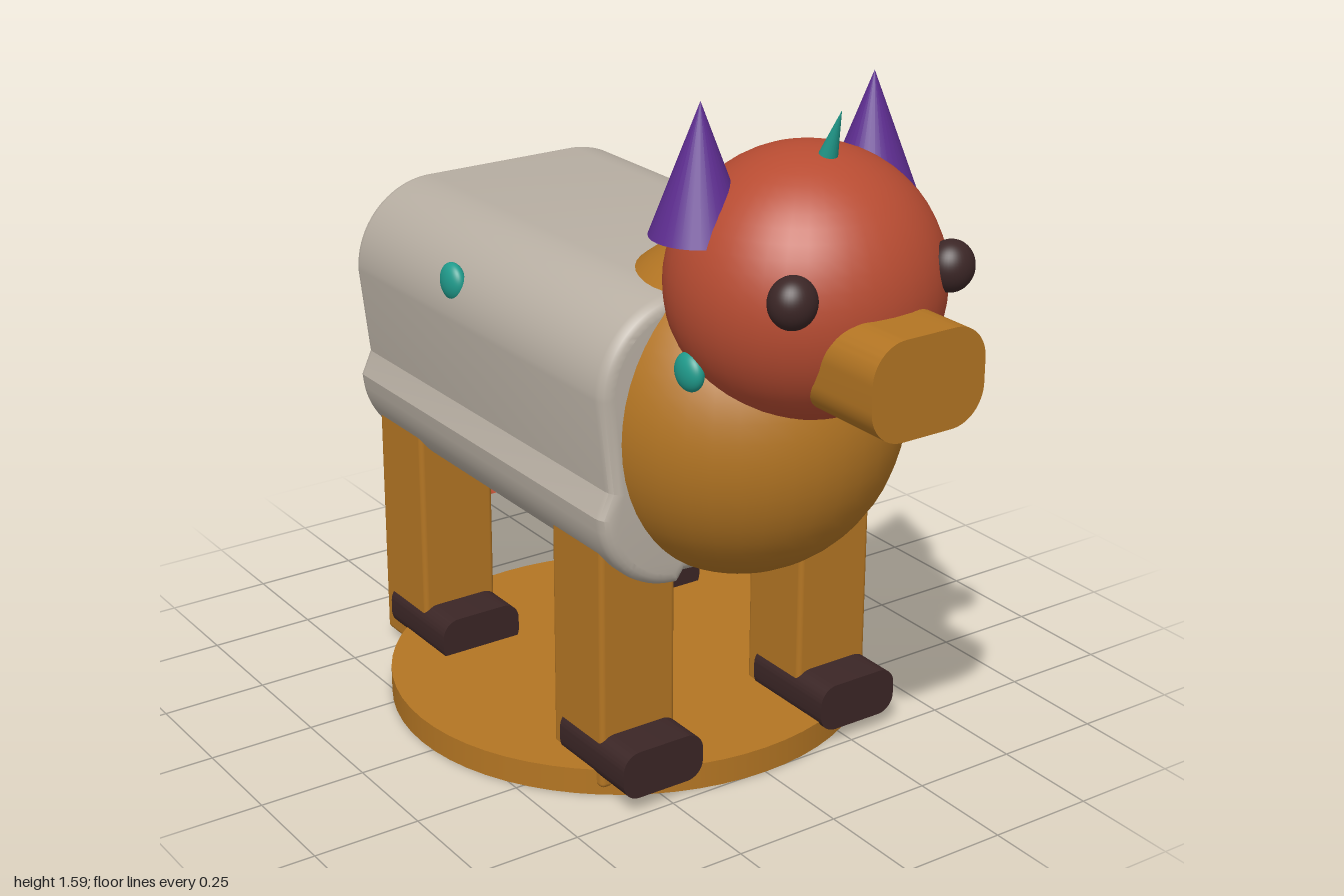
import * as THREE from 'three';
import { toCreasedNormals } from 'three/addons/utils/BufferGeometryUtils.js';
import { RoundedBoxGeometry } from 'three/addons/geometries/RoundedBoxGeometry.js';

const material = (name, color) => {
  const m = new THREE.MeshStandardMaterial({ color });
  m.name = name;
  return m;
};

// Rounded rectangle centred on the origin
function roundedRect(w, h, r) {
  const s = new THREE.Shape(), x = w / 2, y = h / 2;
  s.absarc(x - r, y - r, r, 0, Math.PI / 2);
  s.absarc(-x + r, y - r, r, Math.PI / 2, Math.PI);
  s.absarc(-x + r, -y + r, r, Math.PI, Math.PI * 1.5);
  s.absarc(x - r, -y + r, r, Math.PI * 1.5, Math.PI * 2);
  return s;
}

export function createModel() {
  const model = new THREE.Group();
  model.name = 'toyAnimal';
  const wood = material('ochre wood', 0xb37523);
  const red = material('brick red', 0xb84c32);
  const stone = material('warm grey', 0xb8afa3);
  const dark = material('dark brown', 0x3b2626);
  const purple = material('purple', 0x5e2d91);
  const teal = material('teal', 0x209b8c);

  const add = (name, geometry, mat, x, y, z) => {
    const mesh = new THREE.Mesh(geometry, mat);
    mesh.name = name;
    mesh.position.set(x, y, z);
    model.add(mesh);
    return mesh;
  };
  const ball = (name, mat, x, y, z, rx, ry, rz) =>
    add(name, new THREE.SphereGeometry(1, 40, 28), mat, x, y, z).scale.set(rx, ry, rz);
  const block = (w, h, d, r) => toCreasedNormals(
    new THREE.ExtrudeGeometry(roundedRect(w, h, r), { depth: d, bevelEnabled: false, curveSegments: 8 }), 0.6);

  // Round stand
  add('stand', new THREE.CylinderGeometry(0.57, 0.57, 0.062, 64), wood, 0, 0.031, -0.047).scale.z = 0.968;

  // Barrel body, with a shallow groove low on its right side
  const body = new THREE.Shape();
  body.moveTo(-0.2, 0.553);
  body.lineTo(0.2, 0.53);
  body.absarc(0.2, 0.7, 0.17, -Math.PI / 2, 0);
  body.absarc(0.2, 0.96, 0.17, 0, Math.PI / 2);
  body.absarc(-0.2, 0.96, 0.17, Math.PI / 2, Math.PI);
  body.lineTo(-0.345, 0.745);
  body.lineTo(-0.37, 0.69);
  body.absarc(-0.2, 0.7, 0.17, Math.PI * 1.06, Math.PI * 1.47);
  const bodyGeometry = new THREE.ExtrudeGeometry(body, {
    depth: 1.005, bevelSize: 0.03, bevelThickness: 0.03, bevelSegments: 4, curveSegments: 14,
  });
  add('body', toCreasedNormals(bodyGeometry, 0.45), stone, 0, 0, -0.58);

  // Chest, head and snout
  ball('chest', wood, 0, 0.86, 0.38, 0.362, 0.38, 0.367);
  ball('head', red, 0, 1.195, 0.604, 0.297, 0.29, 0.286);
  add('snout', block(0.285, 0.213, 0.25, 0.08), wood, 0, 1.092, 0.75);

  // Forehead horn, leaning forward
  const horn = add('horn', new THREE.ConeGeometry(0.024, 0.13, 20), teal, 0, 1.515, 0.683);
  horn.rotation.x = 0.37;

  for (const side of [-1, 1]) {
    const label = side > 0 ? 'left' : 'right';
    // Eye and ear
    ball(label + 'Eye', dark, side * 0.2, 1.248, 0.82, 0.052, 0.055, 0.048);
    add(label + 'Ear', new THREE.ConeGeometry(0.104, 0.275, 32), purple, side * 0.22, 1.4525, 0.537);

    // Flattened spots on the neck and flank
    ball(label + 'NeckSpot', teal, side * 0.265, 1.04, 0.57, 0.024, 0.042, 0.042);
    ball(label + 'FlankSpot', teal, side * 0.381, 1.043, -0.175, 0.024, 0.044, 0.042);

    // Legs and hooves
    for (const [end, z] of [['Front', 0.2975], ['Rear', -0.4725]]) {
      add(label + end + 'Leg', new RoundedBoxGeometry(0.195, 0.64, 0.195, 3, 0.012), wood, side * 0.27, 0.34, z);
      add(label + end + 'Hoof', block(0.21, 0.112, 0.255, 0.042), dark, side * 0.27, 0.094, z - 0.06);
    }
  }

  // Tail: a curved rod flattened vertically
  const flat = 0.35;
  const path = new THREE.CatmullRomCurve3([
    [0, 0.298, -0.58], [0, 0.327, -0.7], [0.005, 0.362, -0.81], [0.032, 0.395, -0.9], [0.065, 0.426, -0.96],
  ].map(([x, y, z]) => new THREE.Vector3(x, y / flat, z)));
  const disc = new THREE.Shape().absarc(0, 0, 0.056, 0, Math.PI * 2);
  const tail = new THREE.ExtrudeGeometry(disc, { steps: 24, extrudePath: path, curveSegments: 12 });
  tail.scale(1, flat, 1);
  add('tail', toCreasedNormals(tail, 0.8), red, 0, 0, 0);

  return model;
}
